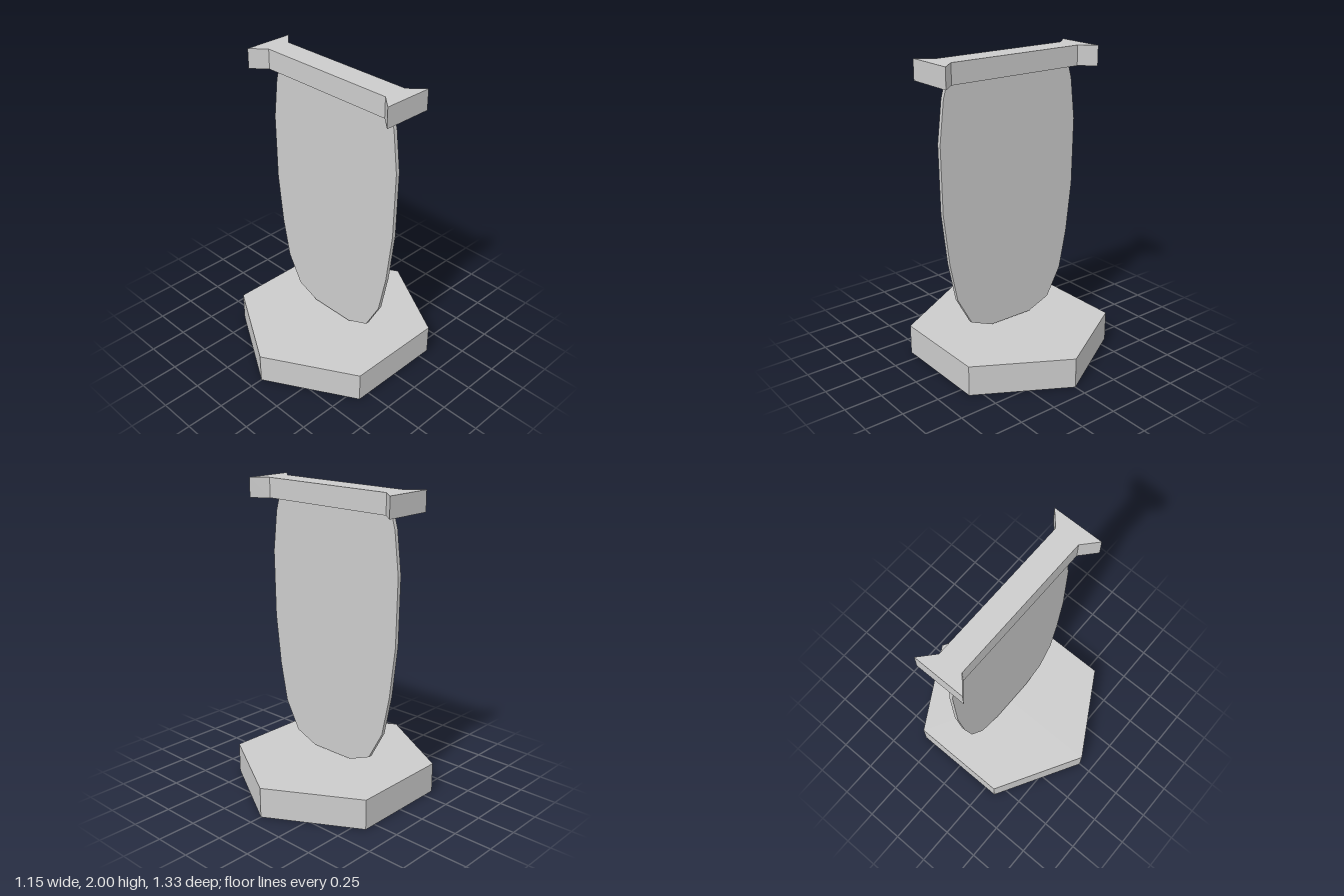
import * as THREE from 'three';

const stone = new THREE.MeshStandardMaterial({ color: 0xcccccc });
stone.name = 'light grey';
stone.flatShading = true;

// Extrude an outline given by its right half, mirrored to the left
function mirroredExtrude(half, depth) {
  const left = half.map(([x, y]) => [-x, y]).reverse();
  const shape = new THREE.Shape([...half, ...left].map(([x, y]) => new THREE.Vector2(x, y)));
  return new THREE.ExtrudeGeometry(shape, { depth, bevelEnabled: false });
}

export function createModel() {
  const group = new THREE.Group();
  const add = (name, geometry) => {
    const mesh = new THREE.Mesh(geometry, stone);
    mesh.name = name;
    group.add(mesh);
  };

  // Hexagonal base with corners facing front and back
  add('base', new THREE.CylinderGeometry(0.665, 0.665, 0.2, 6).translate(0, 0.1, 0));

  // Thin hanging banner, rounded towards the bottom
  const banner = [
    [0.16, 0.22], [0.32, 0.285], [0.425, 0.475], [0.478, 0.735],
    [0.517, 1.07], [0.525, 1.51], [0.493, 1.78], [0.467, 1.87],
  ];
  add('banner', mirroredExtrude(banner, 0.026).translate(0, 0, -0.013));

  // Crossbar with flared ends
  const bar = [[0.48, -0.08], [0.576, -0.166], [0.576, 0.166], [0.48, 0.08]];
  add('crossbar', mirroredExtrude(bar, 0.13).rotateX(-Math.PI / 2).translate(0, 1.87, 0));

  return group;
}
